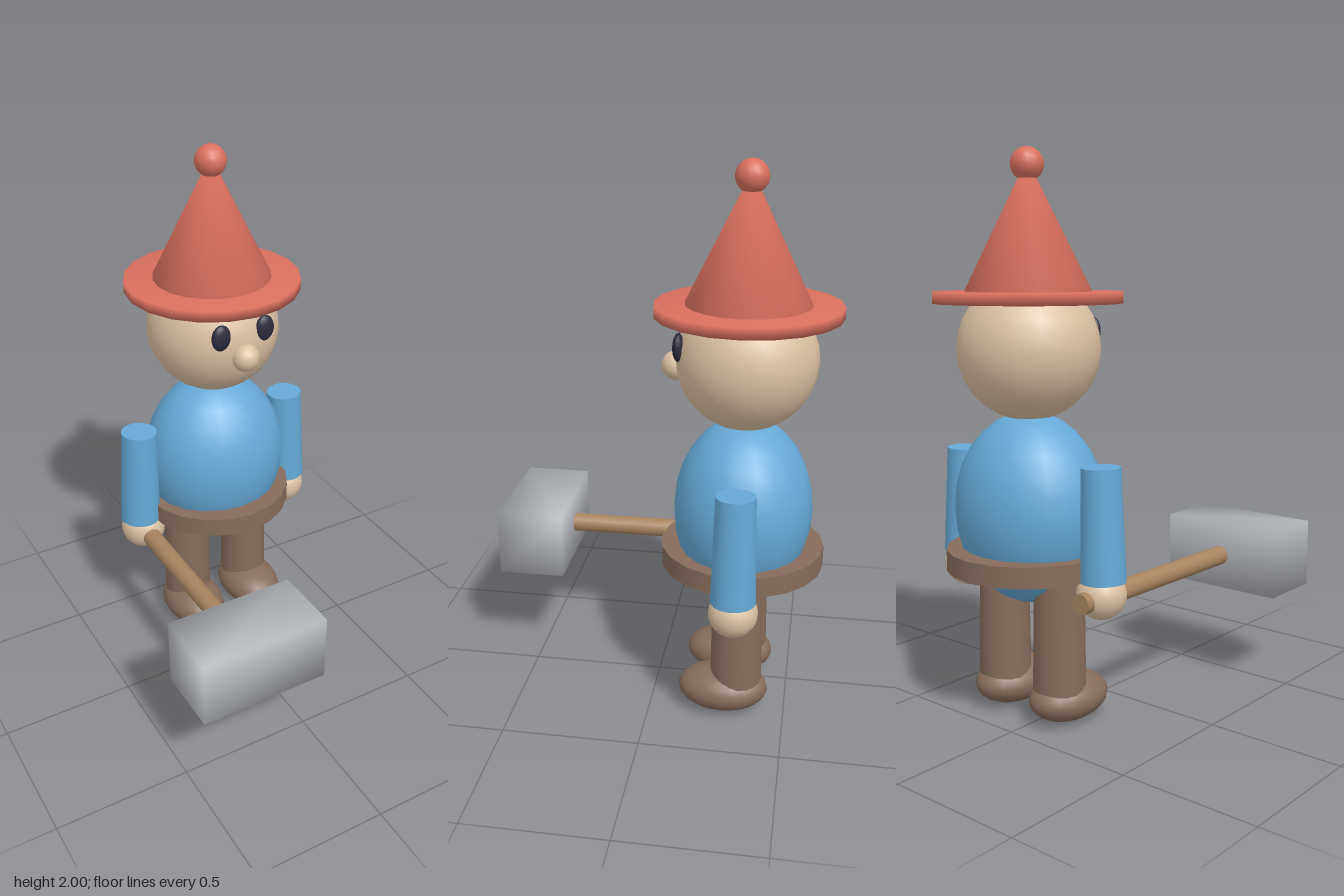
import * as THREE from 'three';
import { mergeVertices } from 'three/addons/utils/BufferGeometryUtils.js';

const material = (name, color) => {
  const m = new THREE.MeshStandardMaterial({ color });
  m.name = name;
  return m;
};

// Share corner vertices so the normals blend across every edge
function softened(geometry) {
  geometry.deleteAttribute('uv');
  geometry.deleteAttribute('normal');
  const merged = mergeVertices(geometry, 1e-4);
  merged.computeVertexNormals();
  return merged;
}

export function createModel() {
  const model = new THREE.Group();
  model.name = 'hammerFigure';

  const red = material('hat red', 0xd9705f);
  const blue = material('shirt blue', 0x66a9d6);
  const skin = material('skin', 0xdcc1a2);
  const brown = material('trouser brown', 0x866c5c);
  const wood = material('handle wood', 0xa88460);
  const steel = material('hammer grey', 0xb2b5ba);
  const dark = material('eye dark', 0x2b2b3c);

  const add = (parent, name, geometry, mat, x, y, z) => {
    const mesh = new THREE.Mesh(geometry, mat);
    mesh.name = name;
    mesh.position.set(x, y, z);
    parent.add(mesh);
    return mesh;
  };
  const ball = (parent, name, mat, x, y, z, rx, ry = rx, rz = rx, seg = 20) =>
    add(parent, name, new THREE.SphereGeometry(1, seg, Math.round(seg * 0.7)), mat, x, y, z).scale.set(rx, ry, rz);

  // Body parts are placed around the figure's own upright axis
  const figure = new THREE.Group();
  figure.name = 'figure';
  figure.position.set(0.072, 0, -0.318);
  model.add(figure);

  ball(figure, 'torso', blue, 0, 0.76, 0, 0.283, 0.34, 0.252);
  ball(figure, 'head', skin, 0, 1.32, 0, 0.251);
  ball(figure, 'nose', skin, 0, 1.285, 0.25, 0.052, 0.052, 0.052, 14);
  add(figure, 'belt', new THREE.CylinderGeometry(0.298, 0.298, 0.074, 20), brown, 0, 0.583, 0);

  // Hat
  add(figure, 'hatBrim', softened(new THREE.CylinderGeometry(0.328, 0.328, 0.04, 20)), red, 0, 1.495, 0);
  add(figure, 'hatCone', softened(new THREE.ConeGeometry(0.228, 0.46, 20)), red, 0, 1.73, 0);
  ball(figure, 'hatBobble', red, 0, 1.942, 0, 0.058, 0.058, 0.058, 16);

  // Paired parts
  for (const [side, s] of [['left', 1], ['right', -1]]) {
    ball(figure, side + 'Eye', dark, s * 0.09, 1.375, 0.23, 0.038, 0.05, 0.02, 16);
    const arm = add(figure, side + 'Arm', new THREE.CylinderGeometry(0.069, 0.079, 0.39, 18), blue, s * 0.332, 0.745, 0);
    arm.rotation.z = s * 0.03;
    ball(figure, side + 'Hand', skin, s * 0.328, 0.503, 0, 0.087, 0.085, 0.087, 18);
    add(figure, side + 'Leg', new THREE.CylinderGeometry(0.09, 0.095, 0.42, 18), brown, s * 0.135, 0.31, 0);
    ball(figure, side + 'Shoe', brown, s * 0.135, 0.084, 0.047, 0.118, 0.083, 0.166);
  }

  // Hammer held in the right hand, pointing forward
  const hammer = new THREE.Group();
  hammer.name = 'hammer';
  hammer.position.set(-0.257, 0.494, 0);
  model.add(hammer);
  const handle = add(hammer, 'hammerHandle', new THREE.CylinderGeometry(0.036, 0.036, 0.87, 14), wood, 0, 0, 0.008);
  handle.rotation.x = Math.PI / 2;
  add(hammer, 'hammerHead', softened(new THREE.BoxGeometry(0.48, 0.253, 0.253)), steel, 0, 0, 0.518);

  return model;
}
